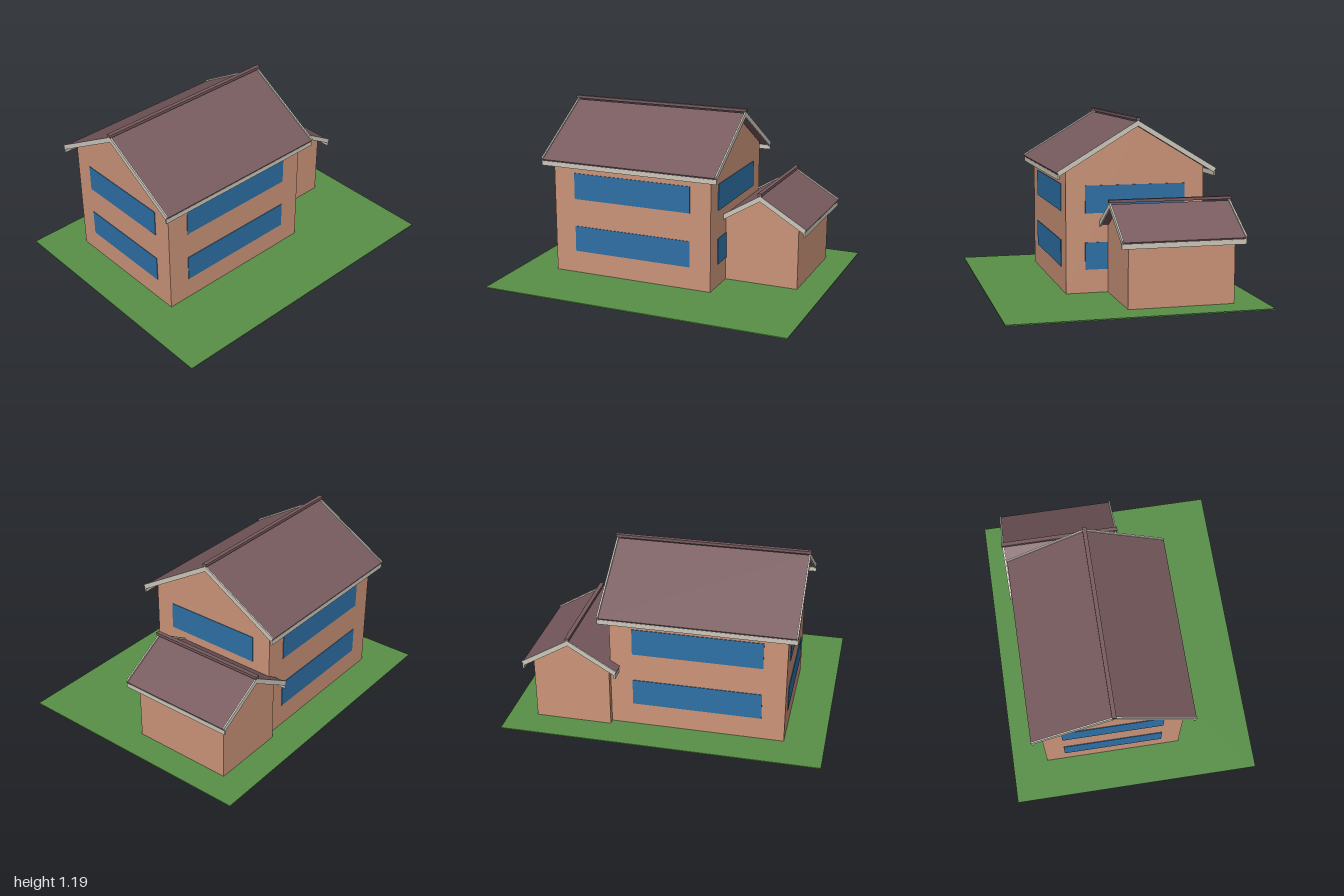
import * as THREE from 'three';

const mat = (name, color) => {
  const m = new THREE.MeshStandardMaterial({ color });
  m.name = name;
  return m;
};

export function createModel() {
  const brick = mat('brick', 0xcc9479);
  const roofTile = mat('roofTile', 0x775a5e);
  const trim = mat('trim', 0xcdc8bc);
  const glass = mat('glass', 0x2e70a6);
  const grass = mat('grass', 0x588f47);
  const stone = mat('stone', 0x908478);

  const SLOPE = 0.6;
  const model = new THREE.Group();
  model.name = 'house';

  const add = (parent, name, geometry, material) => {
    const mesh = new THREE.Mesh(geometry, material);
    mesh.name = name;
    parent.add(mesh);
    return mesh;
  };

  // Box given by its minimum and maximum corners
  const box = (parent, name, material, [x0, y0, z0], [x1, y1, z1]) => {
    const mesh = add(parent, name, new THREE.BoxGeometry(x1 - x0, y1 - y0, z1 - z0), material);
    mesh.position.set((x0 + x1) / 2, (y0 + y1) / 2, (z0 + z1) / 2);
    return mesh;
  };

  // Profile in x and y, pushed along z from z0 to z1
  const prism = (parent, name, material, points, z0, z1) => {
    const shape = new THREE.Shape(points.map(([x, y]) => new THREE.Vector2(x, y)));
    const geometry = new THREE.ExtrudeGeometry(shape, { depth: z1 - z0, bevelEnabled: false });
    geometry.translate(0, 0, z0);
    return add(parent, name, geometry, material);
  };

  // Inverted V with square-cut ends; t is its upright thickness
  const chevron = (half, apex, t) => {
    const inset = t * 0.44;
    const low = apex - t - SLOPE * (half - inset);
    return [
      [-half, apex - SLOPE * half], [-half + inset, low], [0, apex - t],
      [half - inset, low], [half, apex - SLOPE * half], [0, apex],
    ];
  };

  // Gabled block: ridge runs along local z, centred on the origin
  const gabledBlock = (name, { wall, wallLength, eave, roofLength, apex }) => {
    const g = new THREE.Group();
    g.name = name;
    const wallTop = apex - 0.032;
    const shoulder = wallTop - SLOPE * wall;
    prism(g, 'walls', brick, [
      [-wall, 0.1], [wall, 0.1], [wall, shoulder], [0, wallTop], [-wall, shoulder],
    ], -wallLength / 2, wallLength / 2);

    const end = roofLength / 2;
    prism(g, 'roof', roofTile, chevron(eave, apex - 0.01, 0.016), -end + 0.008, end - 0.008);
    box(g, 'ridgeCap', roofTile, [-0.013, apex, -end - 0.005], [0.013, apex + 0.018, end + 0.005]);
    for (const s of [-1, 1]) {
      // Gable boards and eave boards
      const z = s * (end - 0.005);
      prism(g, 'bargeBoard', trim, chevron(eave + 0.003, apex, 0.035), z - 0.005, z + 0.005);
      const edge = apex - SLOPE * eave;
      const x = s * (eave - 0.009);
      box(g, 'eaveBoard', trim, [x - 0.005, edge - 0.05, -end], [x + 0.005, edge - 0.02, end]);
    }
    model.add(g);
    return g;
  };

  // Ground and foundation
  box(model, 'lawn', grass, [-1, 0.096, -0.796], [1, 0.103, 0.796]);
  box(model, 'foundation', stone, [-0.745, 0, -0.566], [0.337, 0.097, 0.314]);

  // Two-storey block, ridge along x
  const main = gabledBlock('mainBlock', {
    wall: 0.442, wallLength: 1.088, eave: 0.505, roofLength: 1.205, apex: 1.174,
  });
  main.rotation.y = Math.PI / 2;
  main.position.set(-0.205, 0, -0.126);

  // Side annex, ridge along z
  const annex = gabledBlock('annex', {
    wall: 0.241, wallLength: 0.655, eave: 0.3, roofLength: 0.76, apex: 0.699,
  });
  annex.position.set(0.58, 0, -0.278);

  // Window bands on all four sides, on both storeys
  const windows = new THREE.Group();
  windows.name = 'windows';
  for (const [y0, y1] of [[0.25, 0.42], [0.603, 0.775]]) {
    box(windows, 'frontWindow', glass, [-0.605, y0, 0.314], [0.2, y1, 0.32]);
    box(windows, 'backWindow', glass, [-0.605, y0, -0.572], [0.2, y1, -0.566]);
    box(windows, 'leftWindow', glass, [0.337, y0, -0.445], [0.343, y1, 0.194]);
    box(windows, 'rightWindow', glass, [-0.753, y0, -0.445], [-0.747, y1, 0.194]);
  }
  model.add(windows);

  return model;
}
